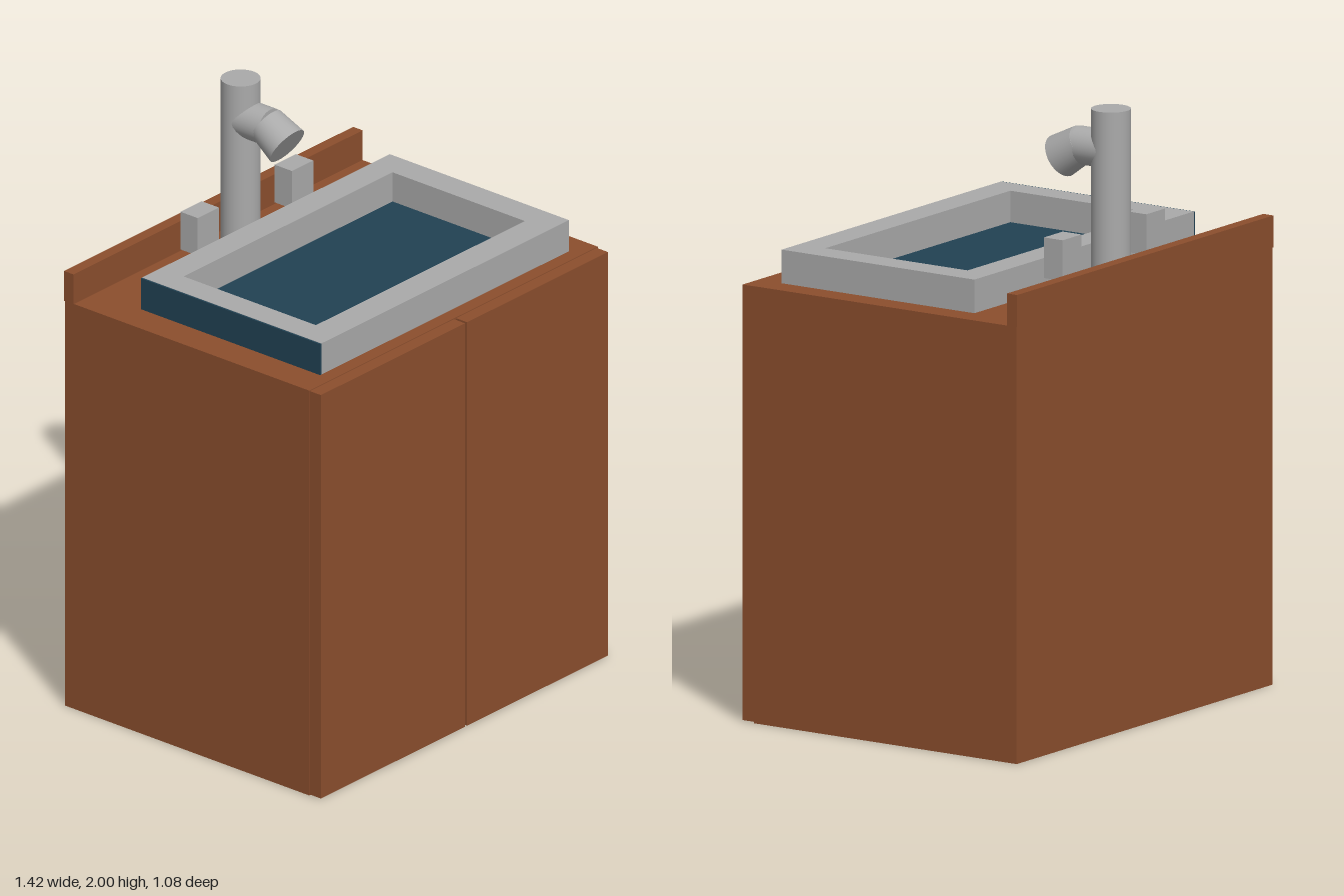
import * as THREE from 'three';

export function createModel() {
  const model = new THREE.Group();
  model.name = 'washbasinCabinet';

  const mat = (name, color, opts = {}) => {
    const m = new THREE.MeshStandardMaterial({ color, ...opts });
    m.name = name;
    return m;
  };
  const wood = mat('wood', 0x8b4e2d);
  const grey = mat('grey', 0xaaaaaa);
  const navy = mat('navy', 0x214153);

  const add = (name, geometry, material) => {
    const mesh = new THREE.Mesh(geometry, material);
    mesh.name = name;
    model.add(mesh);
    return mesh;
  };
  // Box given by its limits on each axis
  const box = (name, material, [x0, x1], [y0, y1], [z0, z1]) => {
    const mesh = add(name, new THREE.BoxGeometry(x1 - x0, y1 - y0, z1 - z0), material);
    mesh.position.set((x0 + x1) / 2, (y0 + y1) / 2, (z0 + z1) / 2);
    return mesh;
  };

  // Cabinet with two doors and a low backsplash
  box('cabinet', wood, [-0.708, 0.706], [0, 1.43], [-0.538, 0.49]);
  box('rightDoor', wood, [-0.706, 0], [0.003, 1.428], [0.491, 0.538]);
  box('leftDoor', wood, [0.01, 0.70], [0.003, 1.428], [0.491, 0.538]);
  box('backsplash', wood, [-0.71, 0.706], [1.43, 1.535], [-0.54, -0.5]);

  // Basin rim: a rectangular frame extruded upwards
  const rect = (target, x0, x1, z0, z1) => {
    target.moveTo(x0, -z1);
    target.lineTo(x1, -z1);
    target.lineTo(x1, -z0);
    target.lineTo(x0, -z0);
    target.closePath();
    return target;
  };
  const frame = rect(new THREE.Shape(), -0.592, 0.62, -0.312, 0.442);
  frame.holes.push(rect(new THREE.Path(), -0.5, 0.523, -0.217, 0.34));
  const rimGeo = new THREE.ExtrudeGeometry(frame, { depth: 0.11, bevelEnabled: false });
  rimGeo.rotateX(-Math.PI / 2);
  add('basinRim', rimGeo, grey).position.y = 1.43;

  // Water and the coloured end face of the basin
  box('water', navy, [-0.5, 0.523], [1.431, 1.437], [-0.217, 0.34]);
  box('basinEndPanel', navy, [-0.598, -0.592], [1.43, 1.539], [-0.312, 0.442]);

  // Tap handles
  for (const [name, x] of [['rightHandle', -0.222], ['leftHandle', 0.24]]) {
    box(name, grey, [x - 0.052, x + 0.052], [1.49, 1.623], [-0.425, -0.352]);
  }

  // Faucet post
  const fx = 0.004;
  const post = add('faucetPost', new THREE.CylinderGeometry(0.064, 0.064, 0.57, 32), grey);
  post.position.set(fx, 1.715, -0.41);

  // Tapered pipe between two points in the plane of the faucet, given as [y, z]
  const pipe = (name, [y0, z0], [y1, z1], r0, r1) => {
    const from = new THREE.Vector3(fx, y0, z0);
    const to = new THREE.Vector3(fx, y1, z1);
    const dir = to.clone().sub(from);
    const mesh = add(name, new THREE.CylinderGeometry(r1, r0, dir.length(), 32), grey);
    mesh.position.copy(from).add(to).multiplyScalar(0.5);
    mesh.quaternion.setFromUnitVectors(new THREE.Vector3(0, 1, 0), dir.normalize());
  };
  pipe('spoutArm', [1.865, -0.40], [1.865, -0.285], 0.062, 0.062);
  pipe('spoutNozzle', [1.872, -0.302], [1.82, -0.215], 0.062, 0.072);

  return model;
}
